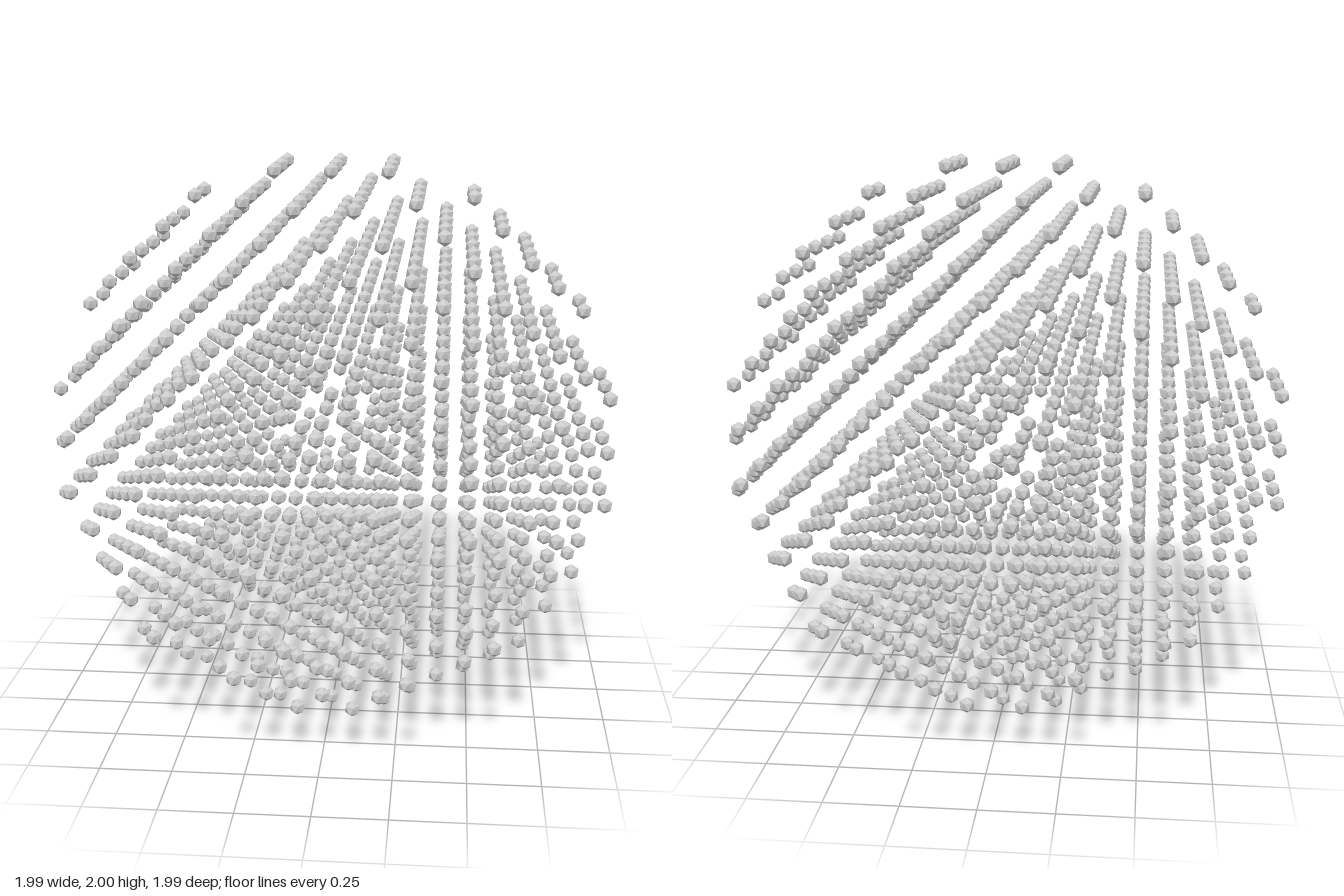
import * as THREE from 'three';
import { mergeGeometries } from 'three/addons/utils/BufferGeometryUtils.js';

const CELL = 0.1942;        // lattice spacing
const RADIUS = 0.029;       // atom radius
const OUTER = 5.23;         // particle radius, in cells
const CAVITY = 1.05;        // hollow core radius, in cells

// Low-poly atom: an icosahedron standing on one corner
function atomGeometry() {
  const g = new THREE.IcosahedronGeometry(RADIUS, 0);
  g.rotateX(-Math.atan((1 + Math.sqrt(5)) / 2));
  g.rotateY(Math.PI / 2);
  return g;
}

// All atoms of one cubic sublattice that lie between the cavity and the outer sphere
function sublattice(name, shift, material) {
  const atom = atomGeometry();
  const parts = [];
  for (let i = -6; i <= 6; i++)
    for (let j = -6; j <= 6; j++)
      for (let k = -6; k <= 6; k++) {
        const p = new THREE.Vector3(i + shift, j + shift, k + shift);
        const d = p.length();
        if (d > OUTER || d < CAVITY) continue;
        p.multiplyScalar(CELL);
        parts.push(atom.clone().translate(p.x, p.y + 1, p.z));
      }
  const mesh = new THREE.Mesh(mergeGeometries(parts), material);
  mesh.name = name;
  return mesh;
}

export function createModel() {
  const group = new THREE.Group();
  group.name = 'hollowCrystalParticle';
  const material = new THREE.MeshStandardMaterial({ color: 0xcccccc, flatShading: true });
  // Body-centred cubic crystal: two interleaved cubic grids
  group.add(sublattice('cornerAtoms', 0, material));
  group.add(sublattice('bodyCentreAtoms', 0.5, material));
  return group;
}
